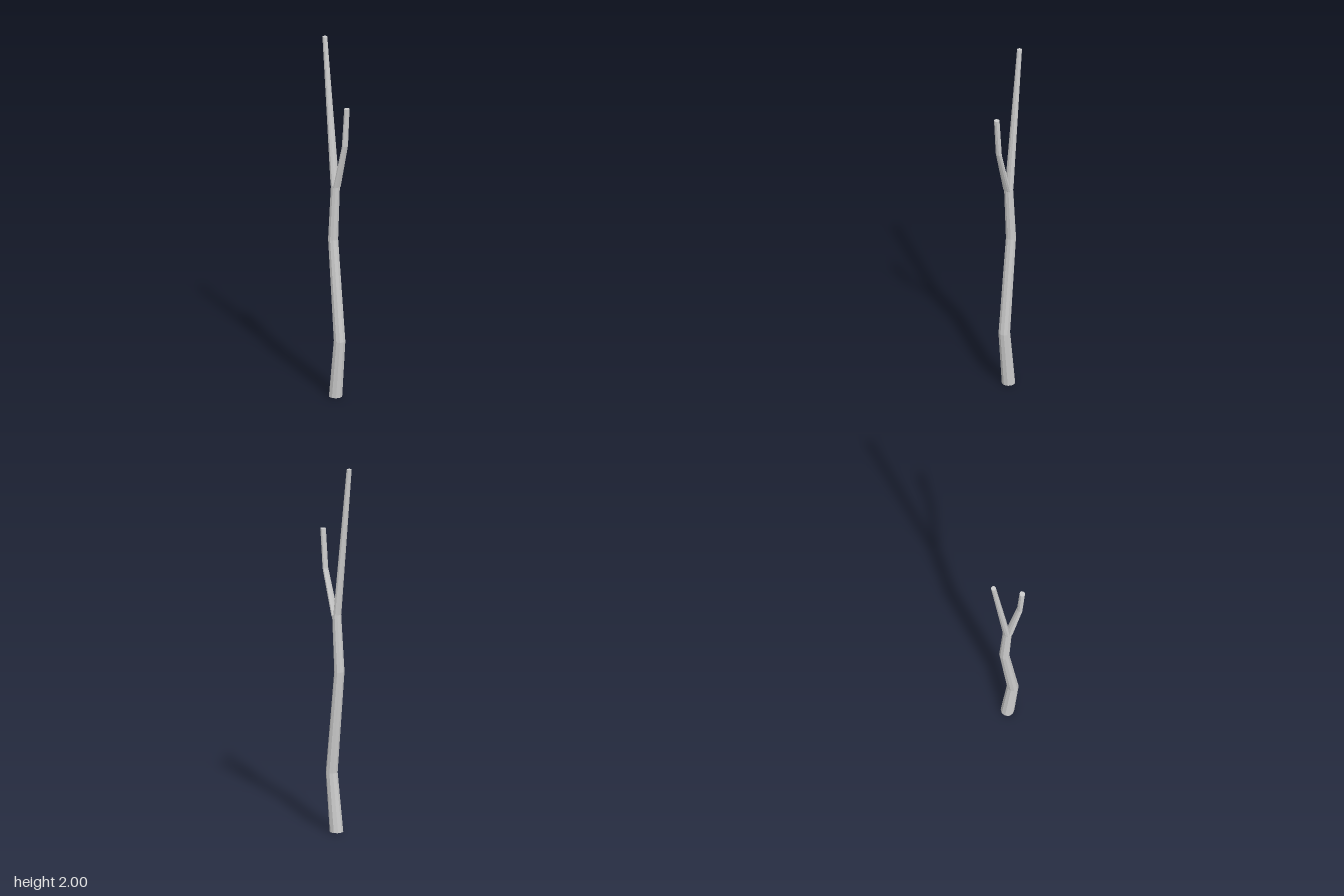
import * as THREE from 'three';

const SIDES = 10;

// Capped loft through level rings, each given as [x, y, radiusX, radiusZ]
function loft(name, rings, material) {
  const positions = [];
  const index = [];
  for (const [x, y, rx, rz] of rings) {
    for (let i = 0; i < SIDES; i++) {
      const a = (i / SIDES) * Math.PI * 2;
      positions.push(x + rx * Math.cos(a), y, rz * Math.sin(a));
    }
  }
  // Side faces
  for (let r = 0; r < rings.length - 1; r++) {
    for (let i = 0; i < SIDES; i++) {
      const a = r * SIDES + i;
      const b = r * SIDES + ((i + 1) % SIDES);
      index.push(a, a + SIDES, b, b, a + SIDES, b + SIDES);
    }
  }
  // End caps
  const top = (rings.length - 1) * SIDES;
  for (let i = 1; i < SIDES - 1; i++) {
    index.push(0, i, i + 1);
    index.push(top, top + i + 1, top + i);
  }
  const indexed = new THREE.BufferGeometry();
  indexed.setAttribute('position', new THREE.Float32BufferAttribute(positions, 3));
  indexed.setIndex(index);
  const geometry = indexed.toNonIndexed();
  geometry.computeVertexNormals();
  const mesh = new THREE.Mesh(geometry, material);
  mesh.name = name;
  return mesh;
}

export function createModel() {
  const group = new THREE.Group();
  group.name = 'forkedBranch';
  const bark = new THREE.MeshStandardMaterial({ color: 0xcccccc, flatShading: true });

  // Crooked main stem
  group.add(loft('stem', [
    [-0.004, 0, 0.036, 0.036],
    [0.029, 0.32, 0.031, 0.032],
    [-0.024, 0.88, 0.026, 0.029],
    [-0.005, 1.19, 0.023, 0.026],
  ], bark));

  // Long straight limb of the fork
  group.add(loft('longLimb', [
    [-0.01, 1.19, 0.018, 0.026],
    [-0.092, 2, 0.0135, 0.0135],
  ], bark));

  // Short bent limb of the fork
  group.add(loft('shortLimb', [
    [0.007, 1.18, 0.011, 0.025],
    [0.073, 1.43, 0.0125, 0.019],
    [0.089, 1.645, 0.0145, 0.0155],
  ], bark));

  return group;
}
